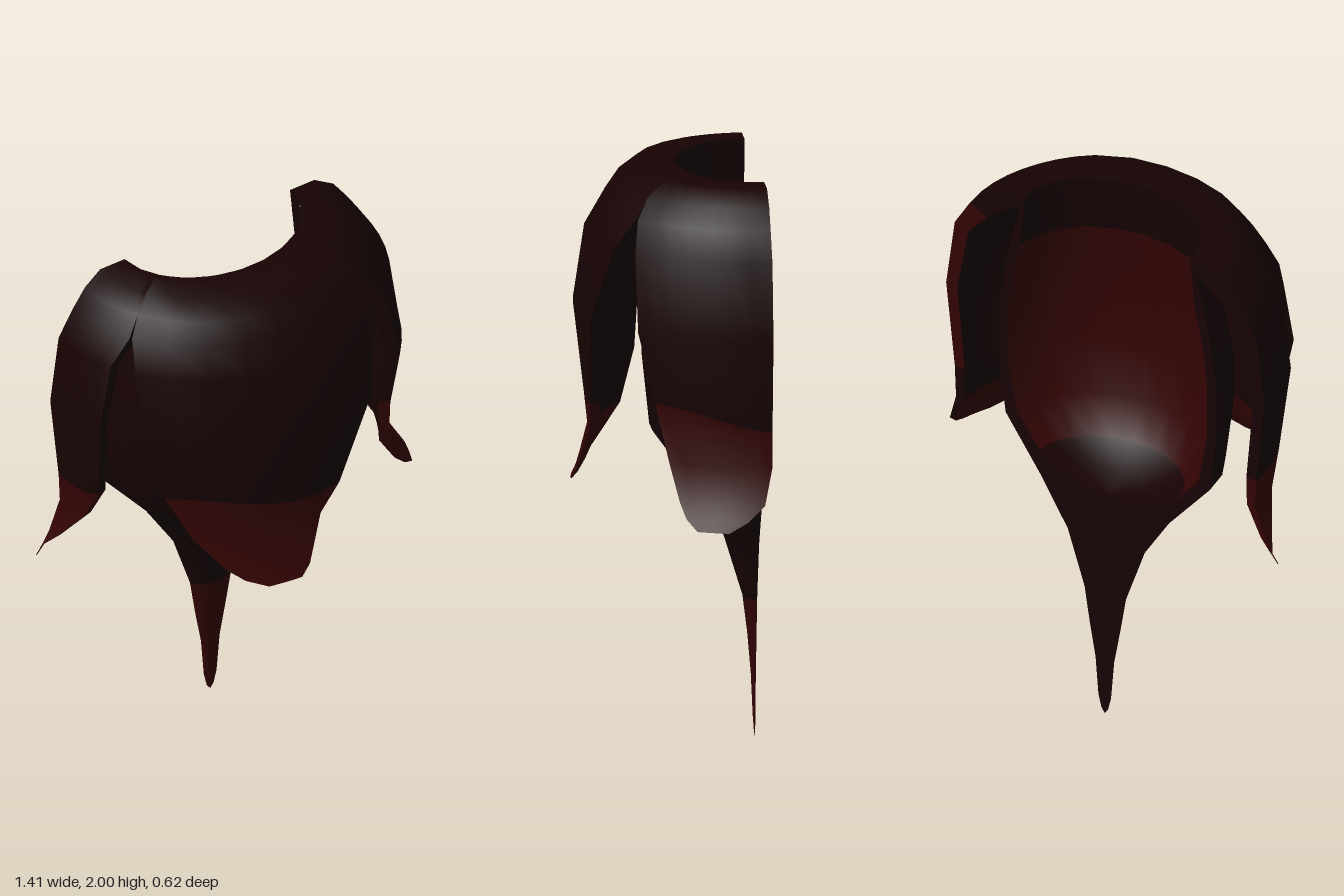
import * as THREE from 'three';

const BACK = -0.31; // plane where the half flower is cut
const mat = (name, color) => {
  const m = new THREE.MeshStandardMaterial({ color, side: THREE.DoubleSide });
  m.name = name;
  return m;
};

// point on an elliptical ring around the vertical axis, angle in degrees from +x towards +z
function ring(r, y, deg, squash, shift = 0) {
  const a = THREE.MathUtils.degToRad(deg);
  return [r * Math.cos(a) + shift, y, BACK + r * squash * Math.sin(a)];
}

// smooth sheet through rows of points; matIndex(row) picks the material of each band
function sheet(name, rows, mats, matIndex) {
  const n = rows[0].length, idx = [];
  const g = new THREE.BufferGeometry();
  g.setAttribute('position', new THREE.Float32BufferAttribute(rows.flat(2), 3));
  for (let i = 0; i < rows.length - 1; i++) {
    g.addGroup(idx.length, (n - 1) * 6, matIndex(i));
    for (let j = 0; j < n - 1; j++) {
      const a = i * n + j, b = a + 1, c = a + n, d = c + 1;
      idx.push(a, b, c, b, d, c);
    }
  }
  g.setIndex(idx);
  g.computeVertexNormals();
  const mesh = new THREE.Mesh(g, mats);
  mesh.name = name;
  return mesh;
}

// petal rows: outer y, outer r, outer squash, inner y, inner r, inner squash, half angle
const PETAL = [
  [2.0, 0.34, 0.8, 2.0, 0.34, 0.8, 49],
  [2.0, 0.44, 0.93, 1.95, 0.36, 0.85, 49],
  [1.95, 0.51, 0.93, 1.9, 0.43, 0.92, 49],
  [1.88, 0.56, 0.93, 1.85, 0.49, 0.93, 48.5],
  [1.78, 0.62, 0.93, 1.76, 0.565, 0.93, 44],
  [1.52, 0.655, 0.94, 1.52, 0.61, 0.94, 38],
  [1.23, 0.62, 0.93, 1.23, 0.58, 0.93, 30],
  [1.07, 0.615, 0.92, 1.07, 0.582, 0.92, 22],
  [0.95, 0.66, 0.9, 0.95, 0.64, 0.9, 14],
  [0.9, 0.69, 0.88, 0.9, 0.68, 0.88, 10],
  [0.865, 0.715, 0.87, 0.865, 0.71, 0.87, 5],
];
const RED_ROW = 6;
const outerBand = i => (i >= RED_ROW ? 1 : 0);
const innerBand = i => (i > RED_ROW ? 1 : 0);

// drift moves the tip sideways, sway bends the middle, lift raises the tip
function petal(name, { centre, drift, sway, lift }, mats, startBand = outerBand) {
  const group = new THREE.Group();
  group.name = name;
  const cols = 7, outer = [], inner = [];
  PETAL.forEach(([yo, ro, so, yi, ri, si, half], i) => {
    const t = Math.max(0, (1.9 - yo) / 1.03) ** 2;
    const mid = centre + drift * t + sway * t * (1 - t);
    const lo = THREE.MathUtils.clamp(mid - half, 0, 180);
    const hi = THREE.MathUtils.clamp(mid + half, 0, 180);
    const o = [], n = [];
    for (let j = 0; j <= cols; j++) {
      const a = lo + (hi - lo) * j / cols;
      // the tip colour starts along a wavy line
      const wave = i === RED_ROW ? 0.04 * Math.cos((a - 130) * Math.PI / 45) : lift * t;
      // slight bulge beside the left slit
      const bulge = i < 2 ? 1 : 1 + 0.04 * Math.exp(-(((a - 58) / 25) ** 2)) + 0.015 * Math.cos(a * Math.PI / 180);
      o.push(ring(ro * bulge, yo + wave, a, so));
      n.push(ring(ri * bulge, yi + wave, a, si));
    }
    outer.push(o);
    inner.push(n);
  });
  const edge = j => outer.map((r, i) => [inner[i][j], r[j]]);
  group.add(sheet('petalOutside', outer, mats, outerBand));
  group.add(sheet('petalInside', inner.map(r => [...r].reverse()), mats, innerBand));
  group.add(sheet('petalStartEdge', edge(0), mats, startBand));
  group.add(sheet('petalEndEdge', edge(cols).map(r => [...r].reverse()), mats, outerBand));
  return group;
}

export function createModel() {
  const dark = mat('dark maroon', 0x170203);
  const red = mat('deep red', 0x320304);
  const mats = [dark, red];
  const model = new THREE.Group();
  model.name = 'halfFlower';

  // three drooping petals, the side ones cut at the back plane
  model.add(petal('leftPetal', { centre: 4, drift: 15, sway: 0, lift: -0.005 }, mats, i => (i >= 3 && i < RED_ROW ? 1 : 0)));
  model.add(petal('frontPetal', { centre: 102, drift: -4, sway: 24, lift: 0.035 }, mats));
  model.add(petal('rightPetal', { centre: 200, drift: -8, sway: -25, lift: 0.02 }, mats));

  // inner cup running down into a pointed tail: r, y, squash
  const outside = [
    [0.36, 1.95, 0.85], [0.41, 1.75, 0.85], [0.45, 1.5, 0.85], [0.45, 1.32, 0.85],
    [0.42, 1.08, 0.85], [0.265, 0.88, 0.8], [0.152, 0.7, 0.7], [0.083, 0.49, 0.5],
    [0.063, 0.36, 0.4], [0.038, 0.22, 0.35], [0.026, 0.07, 0.25], [0.014, 0.02, 0.2], [0, 0, 0.2],
  ];
  const inside = [
    [0.34, 2], [0.36, 1.79], [0.39, 1.67], [0.41, 1.5], [0.41, 1.3],
    [0.375, 1.1], [0.28, 0.98], [0.15, 0.92], [0, 0.9],
  ];
  const shift = y => (y < 1 ? 0.012 : 0); // the tail leans slightly to the left
  const cols = 11;
  const sweep = (r, y, squash, dx, from, to) =>
    Array.from({ length: cols + 1 }, (_, j) => ring(r, y, from + (to - from) * j / cols, squash, dx));
  model.add(sheet('cupAndTail', outside.map(([r, y, s]) => sweep(r, y, s, shift(y), 0, 180)), mats, i => (i >= 7 ? 1 : 0)));
  model.add(sheet('cupLining', inside.map(([r, y]) => sweep(r, y, 0.8, 0, 180, 0)), mats, i => (i >= 1 && i < 6 ? 1 : 0)));

  // flat cut face of the cup wall and tail, facing back
  const side = (list, sign, dx) => list.map(([r, y]) => new THREE.Vector2(-(sign * r + dx(y)), y));
  const none = () => 0;
  const outline = [
    ...side(outside, -1, shift),
    ...side([...outside].reverse().slice(1), 1, shift),
    ...side(inside, 1, none),
    ...side([...inside].reverse().slice(1), -1, none),
  ];
  const cut = new THREE.Mesh(new THREE.ShapeGeometry(new THREE.Shape(outline)), dark);
  cut.name = 'cutFace';
  cut.rotation.y = Math.PI;
  cut.position.z = BACK;
  model.add(cut);
  return model;
}
